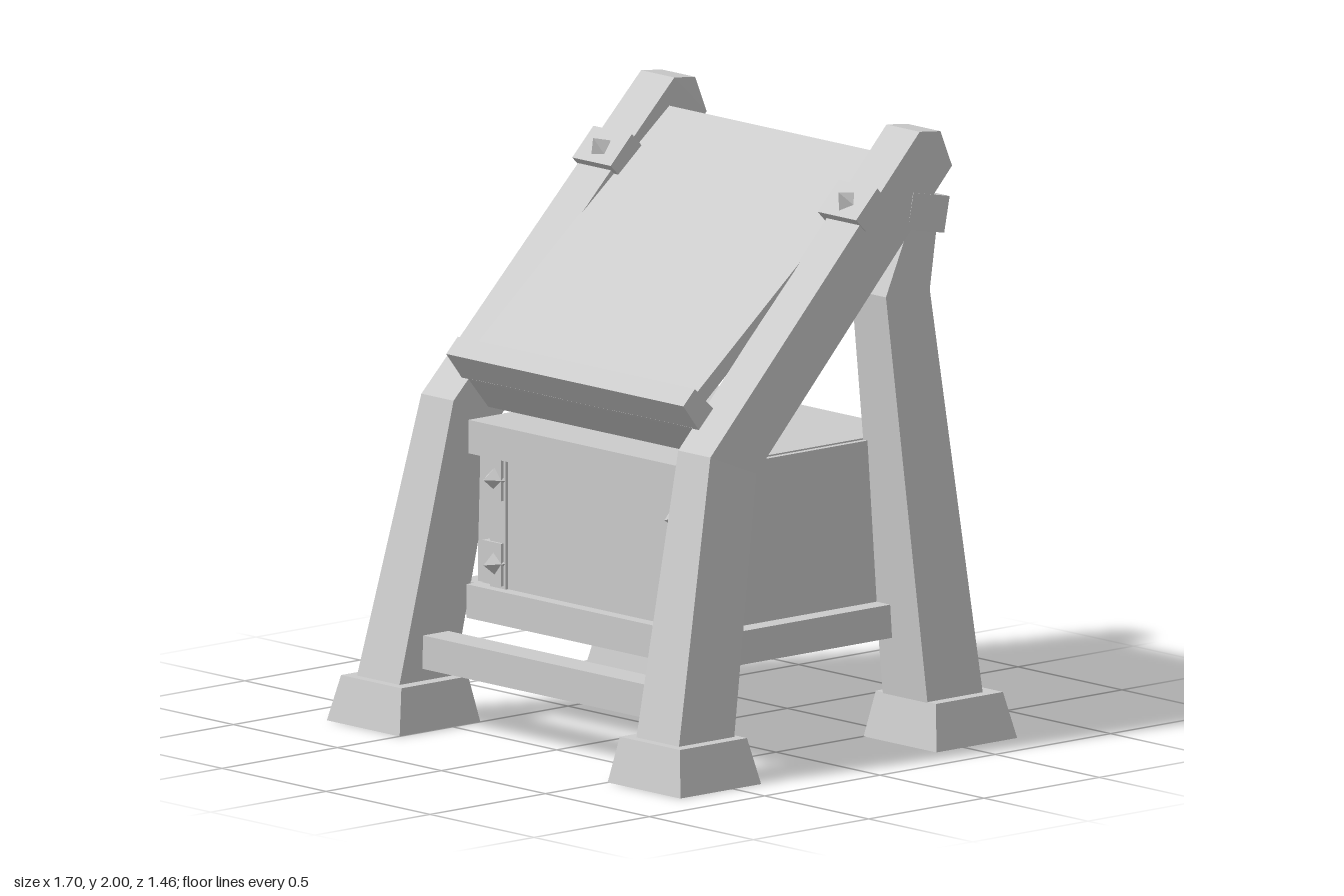
import * as THREE from 'three';

const mat = new THREE.MeshStandardMaterial({ color: 0xcccccc, flatShading: true });

export function createModel() {
  const model = new THREE.Group();

  const add = (name, geometry, parent = model) => {
    const mesh = new THREE.Mesh(geometry, mat);
    mesh.name = name;
    parent.add(mesh);
    return mesh;
  };

  // Box given by its limits on each axis
  const box = (name, [x0, x1], [y0, y1], [z0, z1], parent) => {
    const mesh = add(name, new THREE.BoxGeometry(x1 - x0, y1 - y0, z1 - z0), parent);
    mesh.position.set((x0 + x1) / 2, (y0 + y1) / 2, (z0 + z1) / 2);
    return mesh;
  };

  // Solid through four-cornered sections, corners anticlockwise seen from the far end
  const loft = (sections) => {
    const n = sections.length;
    const index = [];
    for (let s = 0; s < n - 1; s++) {
      for (let i = 0; i < 4; i++) {
        const a = s * 4 + i, b = s * 4 + (i + 1) % 4;
        index.push(a, b, b + 4, a, b + 4, a + 4);
      }
    }
    const e = (n - 1) * 4;
    index.push(0, 2, 1, 0, 3, 2, e, e + 1, e + 2, e, e + 2, e + 3);
    const g = new THREE.BufferGeometry();
    g.setAttribute('position', new THREE.Float32BufferAttribute(sections.flat(2), 3));
    g.setIndex(index);
    const flat = g.toNonIndexed();
    flat.computeVertexNormals();
    return flat;
  };

  // Leg section: inner and outer x, then the front and back points as [z, y]
  const section = (xi, xo, [zf, yf], [zb, yb]) =>
    [[xi, yf, zf], [xo, yf, zf], [xo, yb, zb], [xi, yb, zb]];

  // Faceted stud whose point leads along +y of its holder
  const stud = (name, parent, x, y, z, rx, turn) => {
    const holder = new THREE.Group();
    holder.name = name;
    holder.position.set(x, y, z);
    holder.rotation.x = rx;
    parent.add(holder);
    const cone = add(name + 'Point', new THREE.ConeGeometry(0.043, 0.055, 4), holder);
    cone.position.y = 0.018;
    cone.rotation.y = turn;
  };

  // Legs: the front pair bends back into the sloping beams
  const frontLeg = loft([
    section(0.57, 0.775, [0.67, 0.14], [0.43, 0.14]),
    section(0.54, 0.695, [0.46, 1.06], [0.26, 0.98]),
    section(0.51, 0.67, [-0.47, 2.0], [-0.61, 1.87]),
    section(0.51, 0.67, [-0.56, 1.99], [-0.61, 1.87]),
  ]);
  const backLeg = loft([
    section(0.56, 0.775, [-0.41, 0.14], [-0.65, 0.14]),
    section(0.52, 0.685, [-0.31, 1.48], [-0.5, 1.48]),
    section(0.515, 0.67, [-0.42, 1.69], [-0.545, 1.69]),
  ]);
  const foot = loft([
    section(0.5, 0.85, [0.73, 0], [0.38, 0]),
    section(0.525, 0.815, [0.7, 0.15], [0.41, 0.15]),
  ]);

  // Mirrored copy of a geometry, with the winding put right again
  const mirror = (geometry) => {
    const g = geometry.clone().scale(-1, 1, 1);
    const p = g.attributes.position;
    const a = new THREE.Vector3(), b = new THREE.Vector3();
    for (let i = 0; i < p.count; i += 3) {
      a.fromBufferAttribute(p, i + 1);
      b.fromBufferAttribute(p, i + 2);
      p.setXYZ(i + 1, b.x, b.y, b.z);
      p.setXYZ(i + 2, a.x, a.y, a.z);
    }
    g.computeVertexNormals();
    return g;
  };

  for (const side of [1, -1]) {
    const label = side > 0 ? 'left' : 'right';
    const place = (g) => (side > 0 ? g : mirror(g));
    add(label + 'FrontLeg', place(frontLeg));
    add(label + 'BackLeg', place(backLeg));
    add(label + 'FrontFoot', place(foot));
    add(label + 'BackFoot', place(foot)).position.z = -1.11;

    // Strap on the upper face of the beam
    const strap = add(label + 'BeamStrap', new THREE.BoxGeometry(0.185, 0.06, 0.13));
    strap.position.set(side * 0.59, 1.775, -0.25);
    strap.rotation.x = Math.PI / 4;
    stud(label + 'BeamStud', model, side * 0.59, 1.795, -0.222, Math.PI / 4, 0.4 + side);

    // Clamp where the back leg meets the beam
    const clamp = add(label + 'BackClamp', new THREE.BoxGeometry(0.18, 0.12, 0.16));
    clamp.position.set(side * 0.585, 1.73, -0.505);
    clamp.rotation.x = -0.2;
    stud(label + 'ClampStud', model, side * 0.59, 1.735, -0.585, -Math.PI / 2 - 0.2, side);
  }

  // Sloping parts, each a profile in z and y drawn across the width
  const across = (name, profile, half) => {
    const shape = new THREE.Shape(profile.map(([z, y]) => new THREE.Vector2(-z, y)));
    const g = new THREE.ExtrudeGeometry(shape, { depth: half * 2, bevelEnabled: false });
    g.translate(0, 0, -half).rotateY(Math.PI / 2);
    return add(name, g);
  };
  across('board', [[0.39, 1.22], [0.36, 1.18], [-0.48, 1.87], [-0.45, 1.91]], 0.53);
  across('topRail', [[-0.45, 1.905], [-0.36, 1.83], [-0.46, 1.73], [-0.55, 1.81]], 0.53);
  across('ledge', [[0.465, 1.21], [0.395, 1.12], [0.33, 1.18], [0.415, 1.26]], 0.57);
  across('ledgePlank', [[0.4, 1.126], [0.31, 1.02], [0.245, 1.075], [0.335, 1.185]], 0.54);

  // Rails between the legs
  box('frontStretcher', [-0.58, 0.58], [0.19, 0.3], [0.46, 0.57]);
  box('topCrossbar', [-0.53, 0.53], [1.65, 1.72], [-0.5, -0.44]);

  // Cabinet
  const cabinet = new THREE.Group();
  cabinet.name = 'cabinet';
  model.add(cabinet);
  box('cabinetBody', [-0.555, 0.555], [0.36, 0.985], [-0.5, 0.34], cabinet);
  box('cabinetTop', [-0.535, 0.535], [0.88, 0.99], [-0.56, 0.4], cabinet);
  box('cabinetBase', [-0.54, 0.54], [0.34, 0.45], [-0.565, 0.405], cabinet);
  for (const side of [1, -1]) {
    const x = side > 0 ? [0.5, 0.62] : [-0.62, -0.5];
    box('sideRail', x, [0.34, 0.45], [-0.53, 0.37], cabinet);
  }

  // Door panel, hinge straps and studs, the same on front and back
  for (const end of [0, 1]) {
    const face = new THREE.Group();
    face.name = end ? 'backFace' : 'frontFace';
    face.position.z = -0.08;
    face.rotation.y = end * Math.PI;
    cabinet.add(face);
    box('doorPanel', [-0.39, 0.39], [0.45, 0.88], [0.4, 0.44], face);
    for (const s of [1, -1]) {
      const span = (a, b) => (s > 0 ? [a, b] : [-b, -a]);
      box('hingeStrip', span(0.39, 0.465), [0.45, 0.88], [0.4, 0.45], face);
      for (const y of [0.53, 0.81]) {
        box('hingePlate', span(0.4, 0.49), [y - 0.07, y + 0.07], [0.4, 0.46], face);
        stud('hingeStud', face, s * 0.435, y, 0.46, Math.PI / 2, s + y * 5);
      }
    }
  }

  return model;
}
